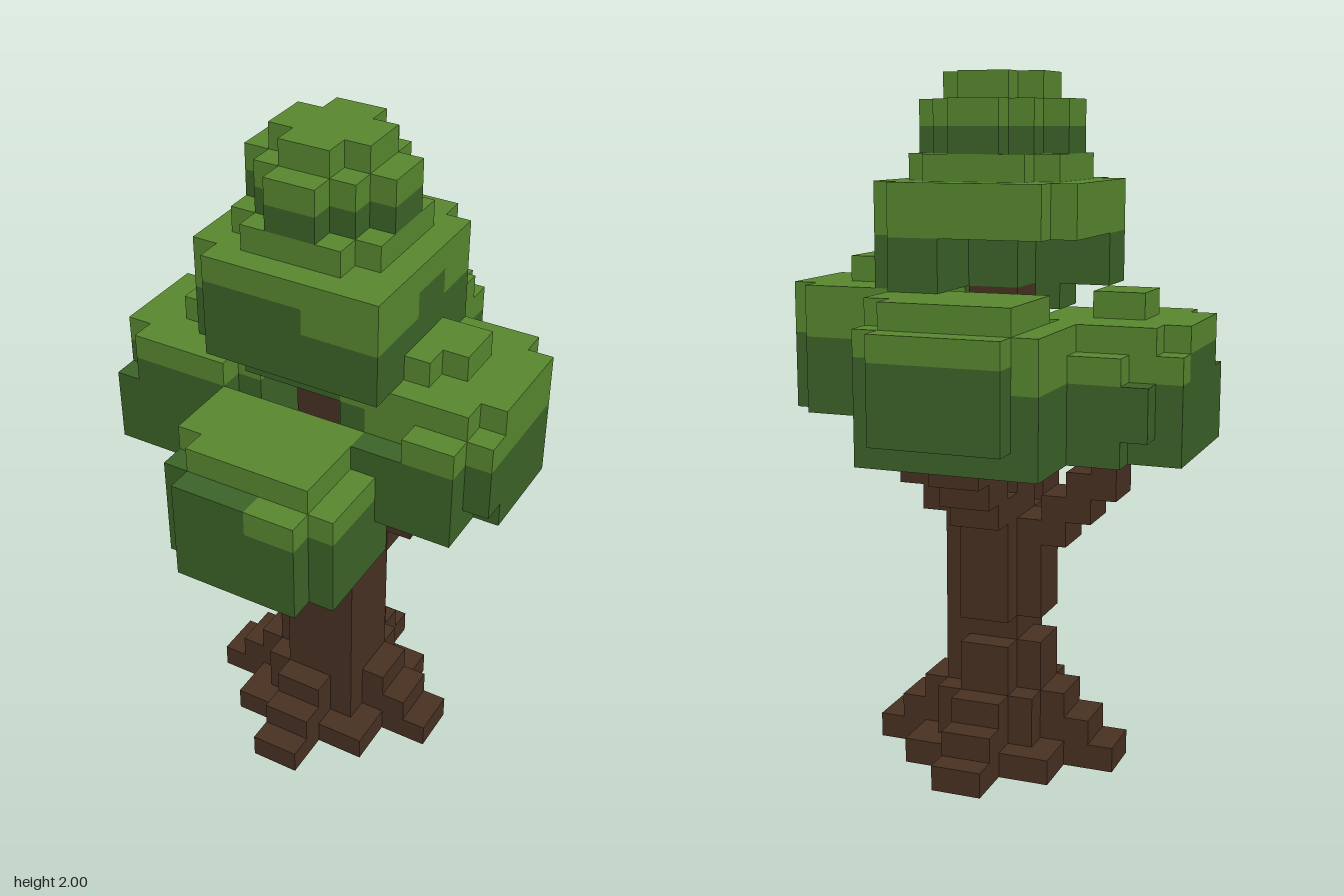
import * as THREE from 'three';
import { mergeGeometries } from 'three/addons/utils/BufferGeometryUtils.js';

const UNIT = 2 / 27; // edge of one cube
const BARK = 0x493223, LIGHT = 0x5a8a30, DARK = 0x3d6529;

export function createModel() {
  const cells = new Map();
  const key = (x, y, z) => `${x},${y},${z}`;

  // Fill a range of cubes; a null part carves it away.
  function fill(part, color, x0, x1, y0, y1, z0, z1) {
    for (let x = x0; x < x1; x++) for (let y = y0; y < y1; y++) for (let z = z0; z < z1; z++) {
      if (part) cells.set(key(x, y, z), { x, y, z, part, color });
      else cells.delete(key(x, y, z));
    }
  }
  // Cross of two bars with half length a and half width b.
  function cross(part, color, a, b, y0, y1) {
    fill(part, color, -a, a, y0, y1, -b, b);
    fill(part, color, -b, b, y0, y1, -a, a);
  }
  // Leaf block: dark below the split height, light above it.
  function leaf(part, x0, x1, y0, split, y1, z0, z1) {
    fill(part, DARK, x0, x1, y0, split, z0, z1);
    fill(part, LIGHT, x0, x1, split, y1, z0, z1);
  }

  // Roots: stepped cross with a shrinking core
  [[5, 3], [4, 2], [3, 2]].forEach(([arm, core], y) => {
    cross('roots', BARK, arm, 1, y, y + 1);
    cross('roots', BARK, core, core, y, y + 1);
  });

  // Trunk: cross section with one filled corner and two small notches
  cross('trunk', BARK, 2, 1, 3, 10);
  fill('trunk', BARK, 1, 2, 3, 10, 1, 2);
  fill(null, 0, -2, -1, 5, 6, -1, 1);
  fill(null, 0, -1, 1, 5, 6, -2, -1);
  fill('trunk', BARK, -1, 1, 10, 19, -1, 1);

  // Branches: stairs rising outward on the four sides
  const branches = [[1, 0, 10], [-1, 0, 9], [0, 1, 9], [0, -1, 10]];
  for (const [dx, dz, base] of branches) {
    for (let i = 1; i < 5; i++) {
      const y0 = base + i - 2, y1 = i === 4 ? y0 + 3 : i === 1 ? base + 1 : y0 + 2;
      const lo = d => d ? (d > 0 ? i : -i - 1) : -1;
      const hi = d => d ? (d > 0 ? i + 1 : -i) : 1;
      fill('branches', BARK, lo(dx), hi(dx), y0, y1, lo(dz), hi(dz));
    }
  }

  // Front leaf cluster
  const F = 'frontLeaves';
  leaf(F, -3, 1, 12, 16, 17, 3, 7);
  leaf(F, 1, 3, 12, 15, 17, 3, 7);
  leaf(F, 3, 4, 12, 15, 16, 3, 7);
  leaf(F, -2, 1, 12, 16, 16, 7, 8);
  leaf(F, 1, 3, 12, 15, 16, 7, 8);
  fill(null, 0, -3, -2, 16, 17, 6, 7);
  fill(F, DARK, -2, 2, 13, 16, 2, 3);

  // Right leaf cluster
  const R = 'rightLeaves';
  leaf(R, -7, -3, 13, 16, 18, -3, 3);
  leaf(R, -8, -7, 13, 16, 18, -2, 2);
  leaf(R, -7, -3, 13, 17, 18, 2, 3);
  leaf(R, -8, -7, 13, 17, 18, -2, 2);
  fill(R, DARK, -8, -7, 13, 16, 2, 3);
  leaf(R, -6, -4, 13, 16, 17, -4, -3);
  fill(R, DARK, -7, -6, 14, 16, -4, -3);
  fill(R, LIGHT, -6, -4, 18, 19, -1, 1);
  leaf(R, -3, -2, 14, 17, 18, -2, 2);
  leaf(R, -8, -7, 13, 16, 17, -3, -2);

  // Left leaf cluster
  const L = 'leftLeaves';
  leaf(L, 3, 7, 14, 17, 19, -3, 3);
  leaf(L, 7, 8, 14, 17, 19, -2, 2);
  leaf(L, 7, 8, 15, 17, 18, 2, 3);
  leaf(L, 5, 7, 14, 17, 18, 3, 4);
  fill(L, DARK, 3, 5, 14, 17, 3, 4);
  fill(L, LIGHT, 3, 6, 19, 20, -1, 1);
  fill(L, LIGHT, 3, 5, 19, 20, 1, 2);
  leaf(L, 2, 3, 15, 18, 19, -2, 3);

  // Back leaf cluster
  const B = 'backLeaves';
  leaf(B, -3, 3, 13, 17, 19, -7, -3);
  leaf(B, -4, -3, 13, 16, 18, -7, -3);
  leaf(B, -3, 2, 14, 17, 18, -8, -7);
  fill(null, 0, 2, 3, 18, 19, -7, -6);
  fill(B, DARK, -2, 2, 14, 18, -3, -2);

  // Crown: block with a hollow back right corner, then narrowing tiers
  const C = 'crown';
  leaf(C, -4, 4, 19, 21, 23, -4, 4);
  fill(C, DARK, -2, 2, 18, 19, 1, 3);
  fill(C, DARK, -4, 1, 21, 22, 3, 4);
  fill(C, DARK, 3, 4, 21, 22, -1, 1);
  fill(null, 0, -4, 1, 19, 21, -4, 1);
  fill(C, DARK, -1, 1, 19, 21, -1, 1);
  for (const [x, z] of [[-4, -4], [3, -4], [-4, 3]]) fill(null, 0, x, x + 1, 19, 23, z, z + 1);
  cross(C, LIGHT, 3, 2, 23, 24);
  for (const [color, y] of [[DARK, 24], [LIGHT, 25]]) {
    cross(C, color, 3, 1, y, y + 1);
    cross(C, color, 2, 2, y, y + 1);
  }
  cross(C, LIGHT, 2, 1, 26, 27);

  // Emit only the exposed cube faces, grouped by part and colour
  const axes = [[1, 0, 0], [-1, 0, 0], [0, 1, 0], [0, -1, 0], [0, 0, 1], [0, 0, -1]];
  const faces = axes.map(([x, y, z]) => {
    const g = new THREE.PlaneGeometry(UNIT, UNIT);
    g.rotateX(-y * Math.PI / 2);
    g.rotateY(x ? x * Math.PI / 2 : z < 0 ? Math.PI : 0);
    return g.translate(x * UNIT / 2, y * UNIT / 2, z * UNIT / 2);
  });
  const parts = {};
  for (const { x, y, z, part, color } of cells.values()) {
    axes.forEach(([dx, dy, dz], i) => {
      if (cells.has(key(x + dx, y + dy, z + dz))) return;
      const byColor = (parts[part] ??= {});
      (byColor[color] ??= []).push(
        faces[i].clone().translate((x + 0.5) * UNIT, (y + 0.5) * UNIT, (z + 0.5) * UNIT));
    });
  }

  const model = new THREE.Group();
  model.name = 'tree';
  for (const [name, byColor] of Object.entries(parts)) {
    const group = new THREE.Group();
    group.name = name;
    for (const [color, list] of Object.entries(byColor)) {
      const mesh = new THREE.Mesh(mergeGeometries(list),
        new THREE.MeshStandardMaterial({ color: Number(color), flatShading: true }));
      mesh.name = name + (Number(color) === LIGHT ? 'Light' : Number(color) === DARK ? 'Dark' : 'Bark');
      group.add(mesh);
    }
    model.add(group);
  }
  return model;
}
